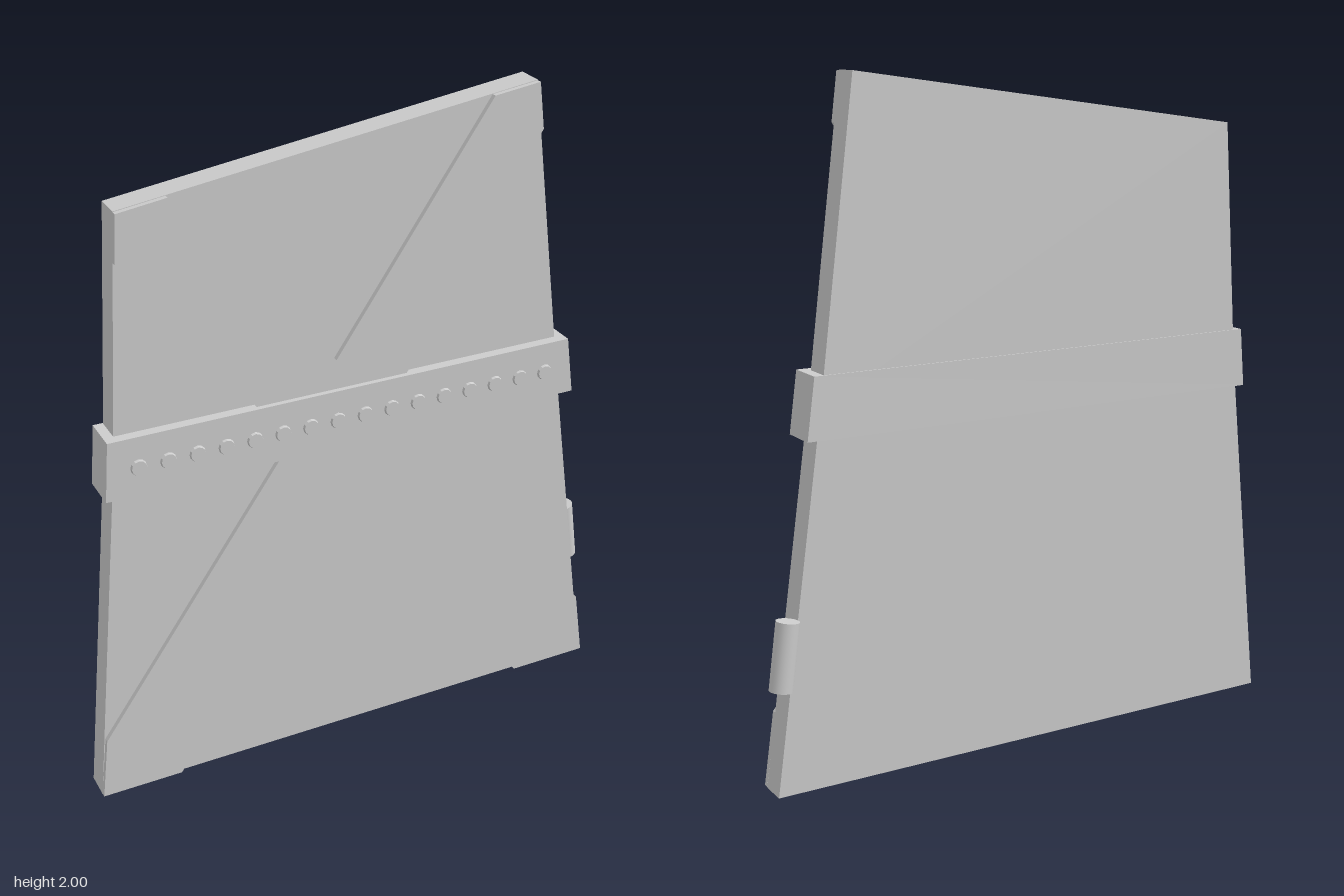
import * as THREE from 'three';

const SKEW = -0.016; // the panel is turned very slightly about y

const material = new THREE.MeshStandardMaterial({ color: 0xcccccc });
const flat = new THREE.MeshStandardMaterial({ color: 0xcccccc, flatShading: true });

// Flat plate with the given outline between two depths
function plate(name, outline, back, front) {
  const shape = new THREE.Shape(outline.map(([x, y]) => new THREE.Vector2(x, y)));
  const geo = new THREE.ExtrudeGeometry(shape, { depth: front - back, bevelEnabled: false });
  geo.translate(0, 0, back);
  const p = geo.attributes.position;
  for (let i = 0; i < p.count; i++) p.setZ(i, p.getZ(i) + SKEW * p.getX(i));
  geo.computeVertexNormals();
  const mesh = new THREE.Mesh(geo, flat);
  mesh.name = name;
  return mesh;
}

export function createModel() {
  const model = new THREE.Group();
  model.name = 'door';

  // Leaning door slab with a slanted top
  model.add(plate('doorPanel', [
    [-0.86, 0], [0.83, 0], [0.672, 1.1], [0.555, 2], [-0.705, 1.83], [-0.752, 1.1],
  ], -0.034, 0.05));

  // Crossed boards on the front
  model.add(plate('crossBrace', [
    [-0.86, 0.003], [-0.61, 0.003], [-0.07, 0.85], [0.57, 0.003], [0.83, 0.003],
    [0.798, 0.22], [0.08, 1.085], [0.573, 1.86], [0.555, 1.998], [0.41, 1.979],
    [-0.08, 1.28], [-0.56, 1.848], [-0.705, 1.828], [-0.714, 1.69],
    [-0.225, 1.055], [-0.837, 0.2],
  ], 0.05, 0.066));

  // Metal band wrapped around the middle
  model.add(plate('band', [
    [-0.79, 1.01], [0.715, 1.01], [0.69, 1.19], [-0.775, 1.19],
  ], -0.038, 0.082));

  // Row of rivets on the band
  const rivets = new THREE.Group();
  rivets.name = 'rivets';
  const rivetGeo = new THREE.CylinderGeometry(0.022, 0.027, 0.016, 12).rotateX(Math.PI / 2);
  for (let i = 0; i < 16; i++) {
    const x = -0.69 + i * (1.3 / 15);
    const rivet = new THREE.Mesh(rivetGeo, flat);
    rivet.name = 'rivet';
    rivet.position.set(x, 1.097, 0.082 + SKEW * x);
    rivets.add(rivet);
  }
  model.add(rivets);

  // Hinge barrel at the lower left of the door
  const top = new THREE.Vector3(0.792, 0.518, -0.058);
  const bottom = new THREE.Vector3(0.821, 0.322, -0.063);
  const axis = top.clone().sub(bottom);
  const hinge = new THREE.Mesh(new THREE.CylinderGeometry(0.034, 0.034, axis.length(), 20), material);
  hinge.name = 'hinge';
  hinge.position.copy(top).add(bottom).multiplyScalar(0.5);
  hinge.quaternion.setFromUnitVectors(new THREE.Vector3(0, 1, 0), axis.normalize());
  model.add(hinge);

  return model;
}
